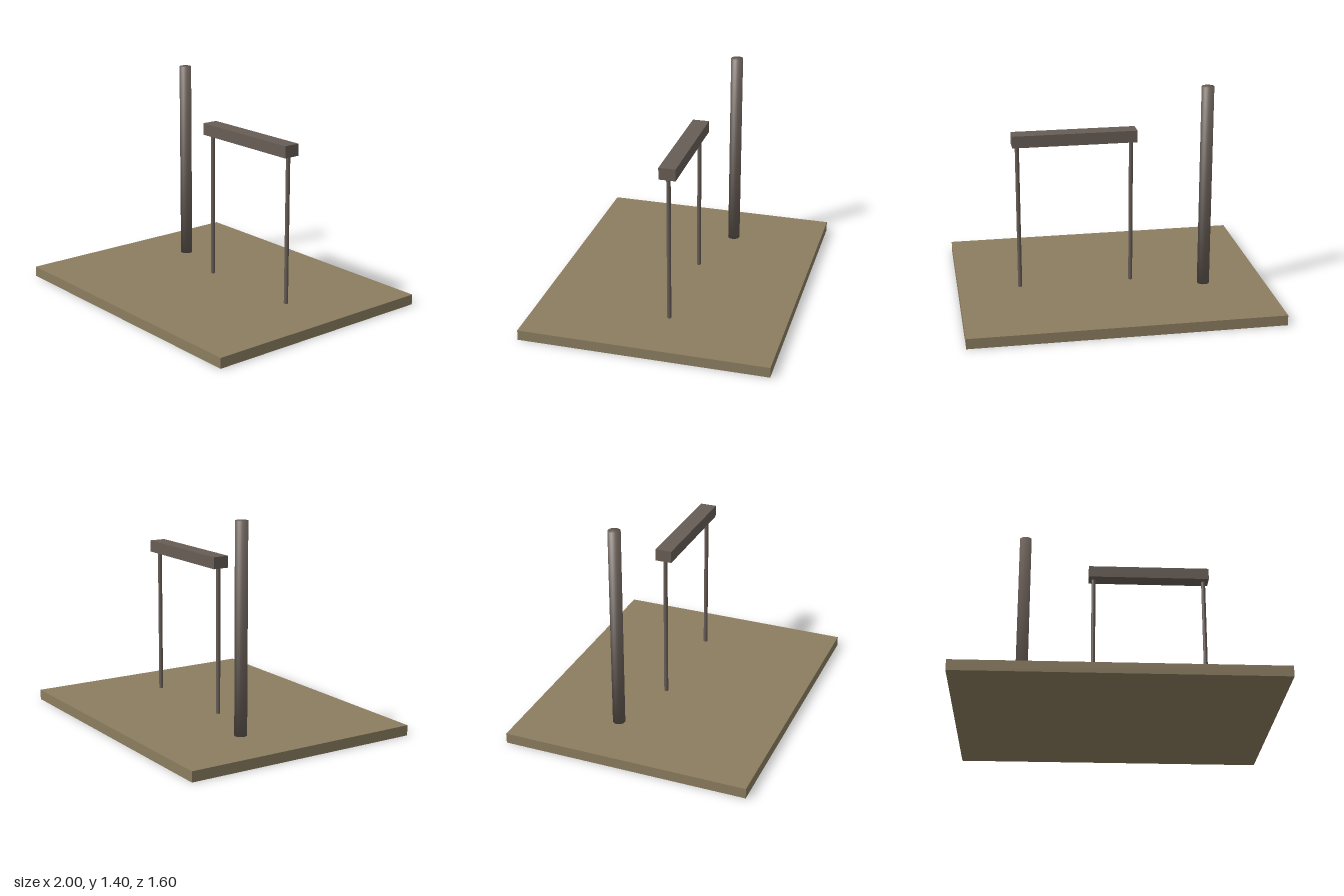
import * as THREE from 'three';

export function createModel() {
  const group = new THREE.Group();
  const ground = new THREE.MeshStandardMaterial({ name: 'dry earth', color: 0x8b7d5f });
  const timber = new THREE.MeshStandardMaterial({ name: 'dark timber', color: 0x685d56 });
  const top = 0.067; // upper face of the slab

  function add(name, geometry, material, x, y, z) {
    const mesh = new THREE.Mesh(geometry, material);
    mesh.name = name;
    mesh.position.set(x, y, z);
    group.add(mesh);
  }

  // Ground slab
  add('baseSlab', new THREE.BoxGeometry(2, top, 1.6), ground, 0, top / 2, 0);

  // Tall free-standing post, with normals blended softly over its rims
  const radius = 0.04, height = 1.4 - top;
  const post = new THREE.CylinderGeometry(radius, radius, height, 24);
  const p = post.attributes.position, n = post.attributes.normal;
  for (let i = 0; i < p.count; i++) {
    const v = new THREE.Vector3(p.getX(i) / radius, Math.sign(p.getY(i)), p.getZ(i) / radius).normalize();
    n.setXYZ(i, v.x, v.y, v.z);
  }
  add('tallPost', post, timber, -0.6, top + height / 2, -0.2);

  // Crossbar on two slender legs
  const barBottom = 1.03, barTop = 1.107, barX = 0.231, barZ = -0.065;
  add('crossbar', new THREE.BoxGeometry(0.8, barTop - barBottom, 0.107), timber,
    barX, (barBottom + barTop) / 2, barZ);
  const legHeight = barBottom - top;
  for (const side of [-1, 1]) {
    add(side < 0 ? 'rightLeg' : 'leftLeg', new THREE.CylinderGeometry(0.0135, 0.0135, legHeight, 16),
      timber, barX + side * 0.367, top + legHeight / 2, barZ);
  }

  return group;
}
